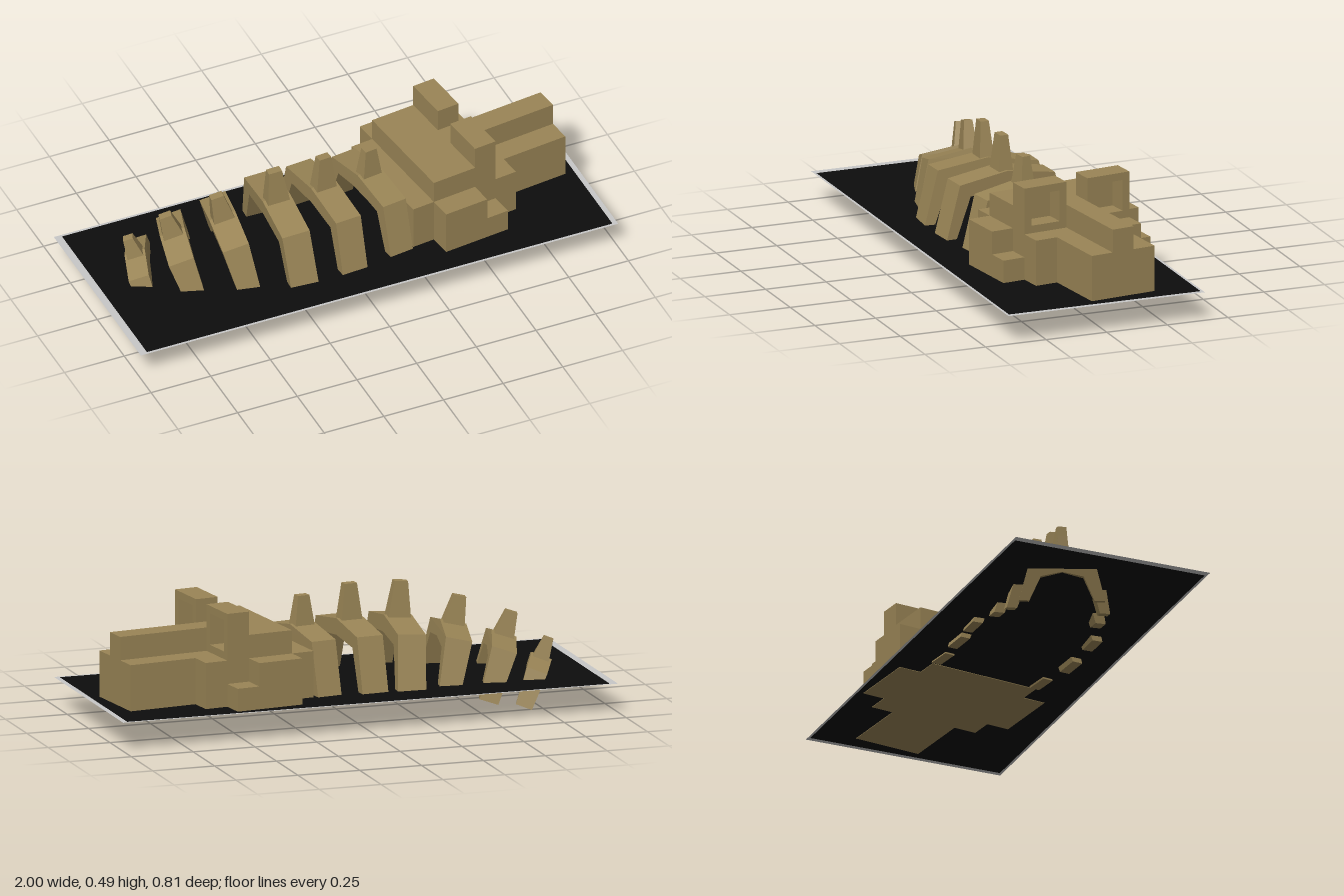
import * as THREE from 'three';

export function createModel() {
  const model = new THREE.Group();
  const mat = (name, color, extra = {}) => {
    const m = new THREE.MeshStandardMaterial({ color, ...extra });
    m.name = name;
    return m;
  };
  const bone = mat('bone brown', 0x9a8556, { flatShading: true });
  const black = mat('ground black', 0x0d0d0d, { side: THREE.DoubleSide });
  const grey = mat('border grey', 0xc8c8c8, { side: THREE.DoubleSide });

  const add = (parent, name, geometry, material) => {
    const mesh = new THREE.Mesh(geometry, material);
    mesh.name = name;
    parent.add(mesh);
    return mesh;
  };

  // Flat ground sheet with a thin border
  const rect = (Type, x0, x1, y0, y1) => new Type([
    new THREE.Vector2(x0, y0), new THREE.Vector2(x1, y0),
    new THREE.Vector2(x1, y1), new THREE.Vector2(x0, y1),
  ]);
  const inner = [-0.97, 0.98, -0.395, 0.395];
  const frame = rect(THREE.Shape, -1, 1, -0.405, 0.405);
  frame.holes.push(rect(THREE.Path, ...inner));
  const sheets = [
    ['groundBorder', frame, grey],
    ['ground', rect(THREE.Shape, ...inner), black],
  ];
  for (const [name, shape, material] of sheets) {
    const g = new THREE.ShapeGeometry(shape).rotateX(-Math.PI / 2);
    add(model, name, g, material).position.y = 0.1235;
  }

  // Skull: blocks on a regular grid, x forward along the snout
  const S = 0.0915;
  const skull = new THREE.Group();
  skull.name = 'skull';
  skull.position.set(0, 0.1215, 0);
  skull.rotation.y = 0.118;
  model.add(skull);
  const X0 = 0.2, Z0 = 0.012;
  const block = (name, x0, x1, y0, y1, z0, z1) => {
    const g = new THREE.BoxGeometry((x1 - x0) * S, (y1 - y0) * S, (z1 - z0) * S);
    add(skull, name, g, bone).position.set(
      X0 + (x0 + x1) / 2 * S, (y0 + y1) / 2 * S, Z0 + (z0 + z1) / 2 * S);
  };
  block('skullBase', 0, 5, 0, 2, -2.5, 2.5);
  block('cranium', 1, 3, 2, 3, -2.5, 2.5);
  block('snout', 5, 8, 0, 2, -1.5, 1.5);
  block('noseRidge', 3, 8, 2, 3, -0.5, 0.5);
  for (const s of [-1, 1]) {
    const side = (a, b) => (s > 0 ? [a, b] : [-b, -a]);
    block('cheek', 1, 3, 0, 2, ...side(2.5, 3.5));
    block('cheekStep', 3, 4, 0, 1, ...side(2.5, 3.5));
    // Eye socket: open frame with a thin back wall
    block('socketBack', 3, 3.15, 2, 4, ...side(0.5, 2.5));
    const socket = rect(THREE.Shape, -S, S, 0, 2 * S);
    socket.holes.push(rect(THREE.Path, -0.062, 0.062, 0.03, 0.153));
    const g = new THREE.ExtrudeGeometry(socket, { depth: 0.85 * S, bevelEnabled: false });
    g.rotateY(Math.PI / 2);
    add(skull, 'eyeSocket', g, bone).position.set(X0 + 3.15 * S, 2 * S, Z0 + s * 1.5 * S);
  }

  // Vertebrae, each an arched pair of ribs with a tapered spine on top
  // apex x, y, z, yaw and lean in degrees, half span, height, width, foot width, spine height
  const vertebrae = [
    [0.14, 0.362, -0.005, 7.7, 0, 0.24, 0.245, 0.102, 0.1, 0.11],
    [-0.055, 0.367, 0.005, 4, 0, 0.262, 0.262, 0.107, 0.107, 0.135],
    [-0.25, 0.362, 0, -3.2, 4, 0.264, 0.255, 0.112, 0.112, 0.135],
    [-0.465, 0.325, -0.025, -8.9, 13, 0.22, 0.235, 0.105, 0.085, 0.105],
    [-0.655, 0.275, -0.07, -14.8, 18, 0.2, 0.235, 0.1, 0.075, 0.09],
    [-0.79, 0.187, -0.12, -22, 20, 0.165, 0.175, 0.082, 0.065, 0.075],
  ];

  function archGeometry(half, height, width, footWidth) {
    const shoulder = half * 0.77, drop = 0.032;
    const right = [
      [0, 0], [shoulder, -drop], [half, -height], [half - 0.04, -height],
      [shoulder - 0.045, -drop - 0.05], [0, -0.065],
    ];
    const left = right.slice(1, -1).reverse().map(([x, y]) => [-x, y]);
    const shape = new THREE.Shape([...right, ...left].map(([x, y]) => new THREE.Vector2(x, y)));
    const g = new THREE.ExtrudeGeometry(shape, { depth: 1, bevelEnabled: false });
    g.translate(0, 0, -0.5).rotateY(-Math.PI / 2);
    // Narrow the ribs towards their feet
    const p = g.attributes.position;
    for (let i = 0; i < p.count; i++) {
      const t = Math.max(0, (-p.getY(i) - drop) / (height - drop));
      p.setX(i, p.getX(i) * THREE.MathUtils.lerp(width, footWidth, t));
    }
    g.computeVertexNormals();
    return g;
  }

  function spineGeometry(width, height) {
    const g = new THREE.BoxGeometry(width * 0.82, height + 0.015, 0.06);
    const p = g.attributes.position;
    for (let i = 0; i < p.count; i++) {
      if (p.getY(i) > 0) {
        p.setX(i, p.getX(i) * 0.58);
        p.setZ(i, p.getZ(i) * 0.55);
      }
    }
    g.computeVertexNormals();
    return g.translate(0, (height - 0.015) / 2, 0);
  }

  for (const [x, y, z, yaw, lean, half, height, width, foot, spine] of vertebrae) {
    const vertebra = new THREE.Group();
    vertebra.name = 'vertebra';
    vertebra.position.set(x, y, z);
    vertebra.rotation.order = 'YXZ';
    vertebra.rotation.y = THREE.MathUtils.degToRad(yaw);
    vertebra.rotation.z = THREE.MathUtils.degToRad(lean);
    add(vertebra, 'ribArch', archGeometry(half, height, width, foot), bone);
    add(vertebra, 'spine', spineGeometry(width, spine), bone);
    model.add(vertebra);
  }

  return model;
}
